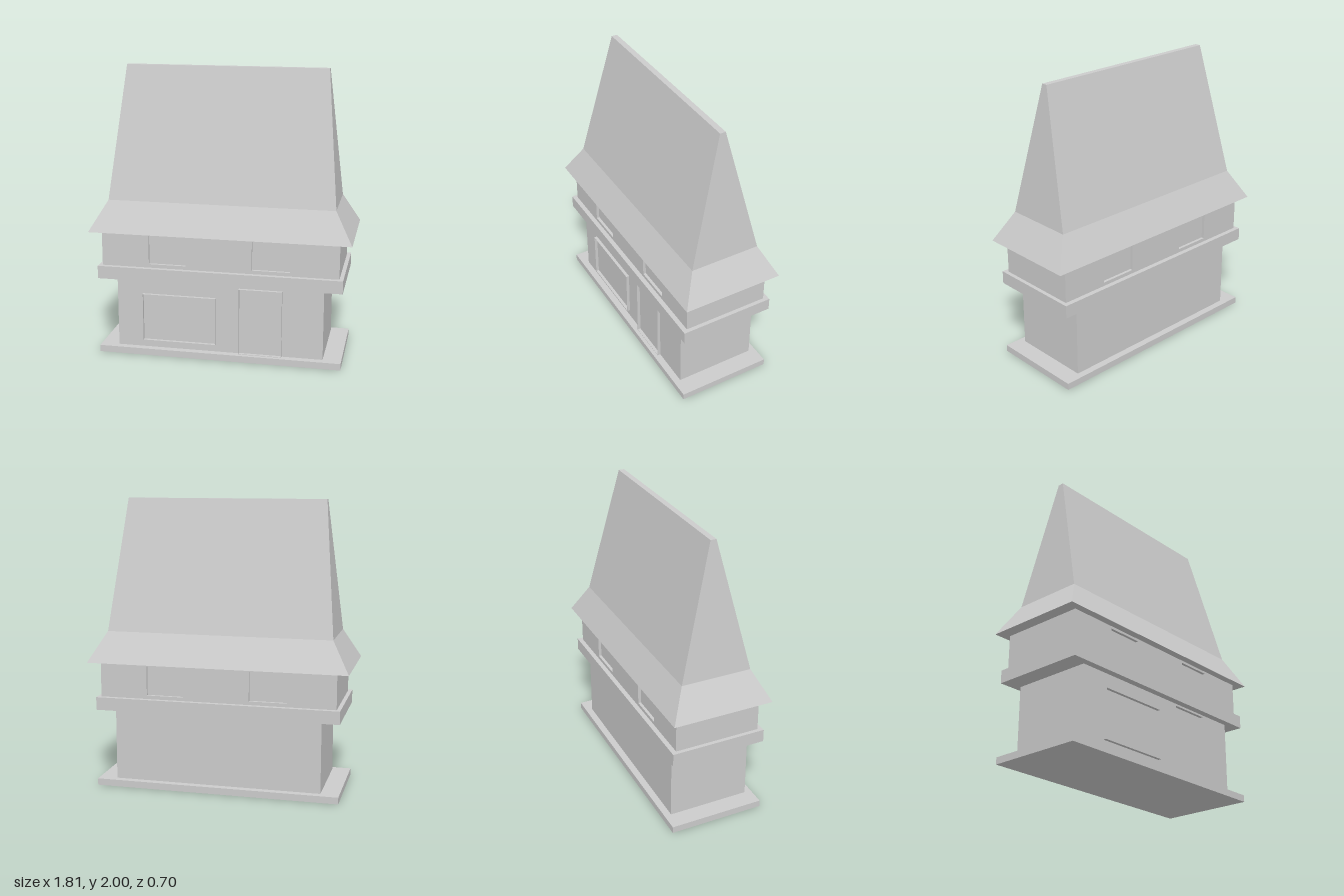
import * as THREE from 'three';

const material = new THREE.MeshStandardMaterial({ color: 0xcccccc, flatShading: true });

function add(group, name, geometry) {
  const mesh = new THREE.Mesh(geometry, material);
  mesh.name = name;
  group.add(mesh);
  return mesh;
}

// Box given by half sizes in x and z and its bottom and top heights
function block(hx, hz, y0, y1) {
  return new THREE.BoxGeometry(2 * hx, y1 - y0, 2 * hz).translate(0, (y0 + y1) / 2, 0);
}

// Block whose top is drawn in to a smaller rectangle
function taper(hx, hz, topX, topZ, y0, y1) {
  const geometry = block(hx, hz, y0, y1);
  const p = geometry.attributes.position;
  for (let i = 0; i < p.count; i++) {
    if (p.getY(i) > (y0 + y1) / 2) {
      p.setX(i, Math.sign(p.getX(i)) * topX);
      p.setZ(i, Math.sign(p.getZ(i)) * topZ);
    }
  }
  geometry.computeVertexNormals();
  return geometry;
}

function rect(x0, x1, y0, y1, Type = THREE.Shape) {
  return new Type([[x0, y0], [x1, y0], [x1, y1], [x0, y1]].map(([x, y]) => new THREE.Vector2(x, y)));
}

// Flat panel with rectangular openings
function panel(outer, holes, z, depth) {
  const shape = rect(...outer);
  for (const h of holes) shape.holes.push(rect(...h, THREE.Path));
  return new THREE.ExtrudeGeometry(shape, { depth, bevelEnabled: false }).translate(0, 0, z);
}

// Thin raised rim around an opening on the ground floor front
function rim(x0, x1, y0, y1) {
  const t = 0.003;
  return panel([x0, x1, y0, y1], [[x0 + t, x1 - t, y0 + t, y1 - t]], 0.28, 0.027);
}

export function createModel() {
  const house = new THREE.Group();
  house.name = 'house';

  // Ground floor between two overhanging slabs
  add(house, 'baseSlab', block(0.85, 0.333, 0, 0.047));
  add(house, 'groundFloorWalls', block(0.723, 0.285, 0.047, 0.545));
  add(house, 'floorSlab', block(0.85, 0.333, 0.545, 0.635));

  // Door and large window
  add(house, 'doorFrame', rim(0.14, 0.44, 0.047, 0.52));
  add(house, 'shopWindowFrame', rim(-0.54, -0.02, 0.1, 0.44));

  // Upper floor with recessed windows at front and back
  const recess = 0.02;
  const windows = [[-0.49, -0.23, 0.66, 0.863], [0.23, 0.49, 0.66, 0.863]];
  add(house, 'upperFloorWalls', block(0.823, 0.3 - recess, 0.635, 0.88));
  for (const [name, z] of [['upperFrontWindows', 0.3 - recess], ['upperBackWindows', -0.3]]) {
    add(house, name, panel([-0.823, 0.823, 0.635, 0.88], windows, z, recess));
  }

  // Steep hipped roof with flared eaves
  add(house, 'roofEaves', taper(0.905, 0.352, 0.785, 0.245, 0.88, 1.09));
  add(house, 'roof', taper(0.785, 0.245, 0.697, 0.02, 1.09, 2));

  return house;
}
